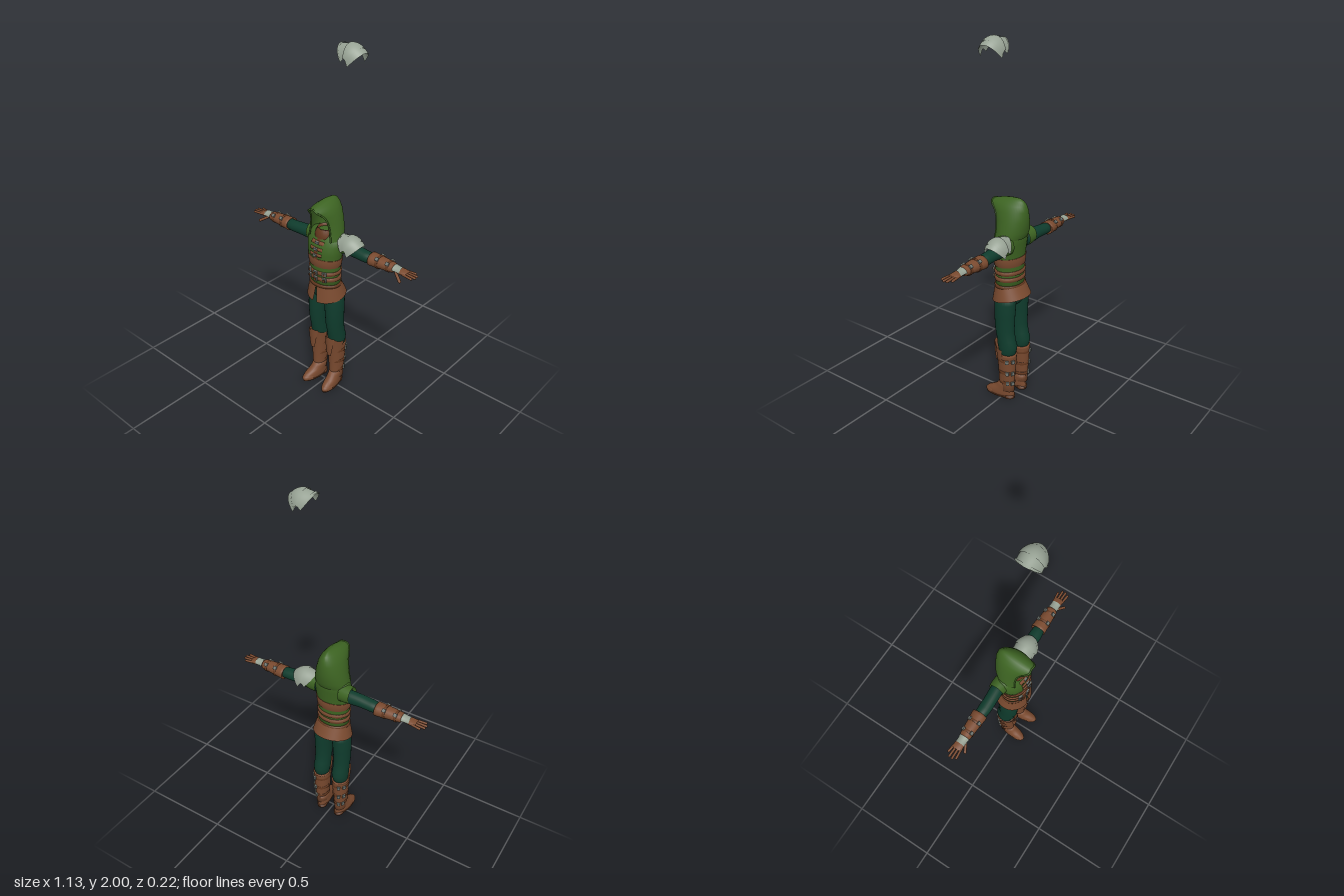
import * as THREE from 'three';
import { mergeVertices } from 'three/addons/utils/BufferGeometryUtils.js';

const paint = (name, color) => new THREE.MeshStandardMaterial({ name, color, side: THREE.DoubleSide });
const { sin, cos, PI, hypot } = Math;
const mix = THREE.MathUtils.lerp;

// Smooth surface from a rule fn(row 0..nu, v 0..1) -> [x, y, z]
function grid(nu, nv, fn) {
  const pos = [], index = [];
  for (let i = 0; i <= nu; i++) for (let j = 0; j <= nv; j++) pos.push(...fn(i, j / nv));
  for (let i = 0; i < nu; i++) for (let j = 0; j < nv; j++) {
    const a = i * (nv + 1) + j, c = a + nv + 1;
    index.push(a, a + 1, c, a + 1, c + 1, c);
  }
  const g = new THREE.BufferGeometry();
  g.setAttribute('position', new THREE.Float32BufferAttribute(pos, 3));
  g.setIndex(index);
  const merged = mergeVertices(g, 1e-5);
  merged.computeVertexNormals();
  return merged;
}

// Elliptical sections [t, c1, c2, r1, r2]; upright: t = y, c1 = x, c2 = z; along x: t = x, c1 = z, c2 = y
function loft(sections, { alongX = false, closed = true, n = 24 } = {}) {
  const s = closed
    ? [[...sections[0].slice(0, 3), 0, 0], ...sections, [...sections.at(-1).slice(0, 3), 0, 0]]
    : sections;
  return grid(s.length - 1, n, (i, v) => {
    const [t, c1, c2, r1, r2] = s[i], a = (v === 1 ? 0 : v) * 2 * PI;
    const p = c1 + r1 * sin(a), q = c2 + r2 * cos(a);
    return alongX ? [t, q, p] : [p, t, q];
  });
}

function mirrored(geo) {
  const g = geo.clone().scale(-1, 1, 1), ix = g.index.array;
  for (let i = 0; i < ix.length; i += 3) [ix[i], ix[i + 1]] = [ix[i + 1], ix[i]];
  return g;
}

function box(w, h, d, x, y, z) {
  return new THREE.BoxGeometry(w, h, d).translate(x, y, z);
}

// Rounded finger between two points
function finger(a, b, r) {
  const p = new THREE.Vector3(...a), q = new THREE.Vector3(...b), d = q.clone().sub(p);
  const turn = new THREE.Quaternion().setFromUnitVectors(new THREE.Vector3(0, 1, 0), d.clone().normalize());
  const m = p.add(q).multiplyScalar(0.5);
  return new THREE.CapsuleGeometry(r, d.length(), 4, 10).applyQuaternion(turn).translate(m.x, m.y, m.z);
}

const TORSO = [
  [0.66, 0, 0, 0.09, 0.07], [0.75, 0, 0.002, 0.088, 0.07], [0.82, 0, 0.003, 0.094, 0.072],
  [0.88, 0, 0.003, 0.106, 0.076], [0.93, 0, -0.004, 0.112, 0.074], [0.96, 0, -0.015, 0.112, 0.065],
  [0.985, 0, -0.02, 0.098, 0.055], [1.0, 0, -0.02, 0.05, 0.04],
];
function torsoAt(y) {
  const i = Math.max(0, TORSO.findIndex((s, k) => y <= TORSO[k + 1][0]));
  const a = TORSO[i], b = TORSO[i + 1], t = (y - a[0]) / (b[0] - a[0]);
  return a.map((v, k) => mix(v, b[k], t));
}
// Raised strip hugging the torso, spanning +-half radians from the front
function strip(y0, y1, off, half = PI) {
  const rows = [[y0, 0], [y0, off], [(y0 + y1) / 2, off * 1.2], [y1, off], [y1, 0]];
  return grid(4, half > 2 ? 40 : 10, (i, v) => {
    const [y, o] = rows[i], [, , cz, rx, rz] = torsoAt(y), a = mix(-half, half, v);
    return [(rx + o) * sin(a), y, cz + (rz + o) * cos(a)];
  });
}

export function createModel() {
  const root = new THREE.Group();
  const green = paint('hoodGreen', 0x3d6422), teal = paint('darkGreenCloth', 0x0f3c2d);
  const leather = paint('brownLeather', 0x7a4a2f), strapBrown = paint('strapLeather', 0x65391f);
  const steel = paint('paleSteel', 0x97a294), iron = paint('buckleIron', 0x6f7671);

  const add = (name, geo, mat) => {
    const m = new THREE.Mesh(geo, mat);
    m.name = name;
    root.add(m);
  };
  const pair = (name, geo, mat) => {
    add(name + 'Left', geo, mat);
    add(name + 'Right', mirrored(geo), mat);
  };

  // Tunic, belts and lacing
  add('tunic', loft(TORSO, { n: 36 }), green);
  add('ribBand', strip(0.805, 0.853, 0.004), leather);
  for (const y of [0.768, 0.732]) {
    add('belt', strip(y - 0.011, y + 0.011, 0.006), leather);
    for (const x of [-0.05, 0, 0.05]) {
      const [, , cz, rx, rz] = torsoAt(y), z = cz + (rz + 0.008) * Math.sqrt(1 - (x / rx) ** 2);
      const plate = box(0.024, 0.024, 0.009, 0, 0, 0).rotateY(x * 9).translate(x, y, z + 0.002);
      add('beltBuckle', plate, iron);
      add('beltTongue', box(0.012, 0.012, 0.004, 0, 0, 0).rotateY(x * 9).translate(x * 1.04, y, z + 0.008), strapBrown);
    }
  }
  add('lacingPlacket', strip(0.85, 0.965, 0.003, 0.1), strapBrown);
  for (const y of [0.945, 0.912, 0.879]) {
    add('lacingStrap', strip(y - 0.007, y + 0.007, 0.006, 0.36), leather);
    const [, , cz, , rz] = torsoAt(y);
    add('lacingToggle', box(0.022, 0.014, 0.01, 0, y, cz + rz + 0.008), iron);
  }

  // Flared skirt, slit at the front
  add('skirt', grid(6, 44, (i, v) => {
    const d = 1 - i / 6, gap = 0.01 + 0.11 * d, a = mix(gap, 2 * PI - gap, v);
    const drop = 0.095 - 0.022 * (1 - cos(a)) / 2 + 0.008 * cos(a);
    return [mix(0.093, 0.113, d) * sin(a), 0.692 - d * drop, mix(0, -0.01, d) + mix(0.074, 0.1, d) * cos(a)];
  }), leather);
  add('skirtWaistband', strip(0.68, 0.697, 0.006), strapBrown);

  // Empty hood: [y, back z, front z, half width]
  const hood = [
    [0.962, -0.088, 0.046, 0.099], [1.0, -0.104, 0.042, 0.092], [1.06, -0.108, 0.046, 0.08],
    [1.11, -0.107, 0.063, 0.067], [1.14, -0.1, 0.085, 0.054], [1.16, -0.088, 0.1, 0.038],
    [1.172, -0.07, 0.102, 0.02], [1.176, -0.05, 0.1, 0],
  ];
  const wrap = 2.3;
  const hoodPoint = (i, v) => {
    const [y, zb, zf, w] = hood[i], a = mix(-wrap, wrap, v), f = (1 - cos(a)) / (1 - cos(wrap));
    const sag = 0.026 * Math.max(0, (y - 1.08) / 0.096) * f * f;
    return [-w * sin(a), y - sag, mix(zb, zf, f)];
  };
  add('hood', grid(hood.length - 1, 32, hoodPoint), green);
  const rim = [...hood.map((_, i) => hoodPoint(i, 0)), ...hood.slice(0, -1).map((_, i) => hoodPoint(i, 1)).reverse()];
  const rimCurve = new THREE.CatmullRomCurve3(rim.map(p => new THREE.Vector3(...p)));
  add('hoodRim', new THREE.TubeGeometry(rimCurve, 60, 0.005, 6), green);

  // Open collar inside the hood
  add('collar', loft([
    [0.965, 0, 0.0, 0.058, 0.055], [0.985, 0, 0.003, 0.054, 0.052], [1.01, 0, 0.002, 0.046, 0.044],
    [1.016, 0, 0, 0.042, 0.04], [1.0, 0, 0, 0.038, 0.036],
  ], { closed: false }), strapBrown);

  // Shoulders and sleeves
  pair('shoulderCap', loft([
    [0.07, -0.028, 0.93, 0.05, 0.052], [0.105, -0.032, 0.931, 0.047, 0.05], [0.134, -0.034, 0.934, 0.043, 0.047],
  ], { alongX: true, closed: false }), green);
  pair('sleeve', loft([
    [0.08, -0.034, 0.92, 0.036, 0.039], [0.14, -0.034, 0.921, 0.036, 0.037], [0.2, -0.031, 0.92, 0.035, 0.033],
    [0.25, -0.031, 0.917, 0.035, 0.031], [0.31, -0.034, 0.916, 0.03, 0.028],
  ], { alongX: true }), teal);

  // Bracers with two buckled straps each
  pair('bracer', loft([
    [0.288, -0.036, 0.916, 0.036, 0.029], [0.285, -0.036, 0.916, 0.043, 0.036], [0.3, -0.036, 0.916, 0.042, 0.035],
    [0.35, -0.035, 0.917, 0.037, 0.032], [0.425, -0.034, 0.918, 0.031, 0.025], [0.432, -0.034, 0.918, 0.026, 0.02],
  ], { alongX: true }), leather);
  for (const [x, rz, ry] of [[0.337, 0.041, 0.036], [0.4, 0.036, 0.03]]) {
    pair('bracerStrap', loft([
      [x - 0.007, -0.035, 0.917, rz - 0.004, ry - 0.004], [x - 0.006, -0.035, 0.917, rz, ry],
      [x + 0.006, -0.035, 0.917, rz, ry], [x + 0.007, -0.035, 0.917, rz - 0.004, ry - 0.004],
    ], { alongX: true, closed: false }), strapBrown);
    for (const s of [-1, 1]) {
      const buckle = box(0.019, 0.008, 0.018, 0, 0, 0).rotateX(s * 0.75);
      pair('bracerBuckle', buckle.translate(x, 0.917 + ry * 0.78, -0.035 + s * rz * 0.72), iron);
    }
  }

  // Gloves, fingers and wrist plates
  pair('glove', loft([
    [0.42, -0.034, 0.918, 0.022, 0.017], [0.455, -0.034, 0.918, 0.024, 0.015],
    [0.485, -0.034, 0.917, 0.028, 0.013], [0.508, -0.034, 0.916, 0.027, 0.009],
  ], { alongX: true }), leather);
  [[-0.056, 0.537], [-0.042, 0.556], [-0.027, 0.558], [-0.012, 0.548]].forEach(([z, x]) =>
    pair('finger', finger([0.495, 0.916, z], [x, 0.915, -0.034 + (z + 0.034) * 1.25], 0.0068), leather));
  pair('thumb', finger([0.452, 0.909, -0.014], [0.492, 0.884, 0.008], 0.008), leather);
  pair('wristPlate', grid(3, 12, (i, v) => {
    const a = mix(-1.45, 1.45, v), r = [0.03, 0.027, 0.026, 0.027][i];
    return [0.432 + i * 0.0145, 0.914 + r * 0.88 * cos(a), -0.034 + r * sin(a)];
  }), steel);

  // Layered shoulder plate, worn and floating high above
  const plate = (u0, u1, lift, dy, dz) => grid(10, 24, (i, v) => {
    const u = mix(u0, u1, i / 10), s = v * 2 - 1, a = s * 1.35;
    const x = mix(mix(0.082, 0.128, s * s), mix(0.222, 0.168, s * s), u);
    const crown = 1.99 + 0.006 * sin(u * 5 - 1.2) - 0.028 * u ** 4 + lift;
    const arch = (1 - cos(a)) / (1 - cos(1.35));
    return [x, crown - arch * mix(0.068, 0.058, u) + dy, -0.015 + dz + (0.062 + lift) * sin(a) / sin(1.35)];
  });
  for (const [name, dy, dz] of [['wornShoulder', -0.998, -0.016], ['floatingShoulder', 0, 0]]) {
    add(name + 'Plate', plate(0, 1, 0, dy, dz), steel);
    add(name + 'Layer', plate(0.4, 0.85, 0.004, dy, dz), steel);
    add(name + 'Edge', plate(0.86, 1, 0.003, dy, dz), steel);
    add(name + 'InnerEdge', plate(0, 0.1, 0.004, dy, dz), steel);
  }

  // Trousers
  add('hips', loft([
    [0.575, 0, -0.01, 0.07, 0.045], [0.6, 0, -0.01, 0.1, 0.062], [0.65, 0, -0.006, 0.095, 0.066], [0.69, 0, 0, 0.086, 0.064],
  ]), teal);
  pair('trouserLeg', loft([
    [0.27, 0.062, -0.026, 0.038, 0.042], [0.3, 0.062, -0.028, 0.044, 0.05], [0.335, 0.061, -0.026, 0.047, 0.058],
    [0.37, 0.061, -0.018, 0.045, 0.054], [0.43, 0.061, -0.008, 0.047, 0.056], [0.51, 0.06, -0.007, 0.05, 0.06],
    [0.59, 0.057, -0.009, 0.053, 0.062], [0.64, 0.052, -0.01, 0.048, 0.06],
  ]), teal);

  // Boots: shaft, front guard, foot and sole
  pair('bootShaft', loft([
    [0.05, 0.063, -0.027, 0.032, 0.042], [0.1, 0.063, -0.026, 0.033, 0.043], [0.16, 0.063, -0.027, 0.04, 0.047],
    [0.23, 0.062, -0.028, 0.045, 0.05], [0.275, 0.062, -0.028, 0.047, 0.052], [0.287, 0.062, -0.028, 0.049, 0.055],
  ]), leather);
  pair('bootGuard', grid(8, 20, (i, v) => {
    const t = i / 8, a = mix(-1.6, 1.6, v), y = 0.1 + t * (0.255 - 0.035 * sin(a) ** 2);
    return [0.062 + mix(0.036, 0.051, t) * sin(a), y, -0.022 + mix(0.047, 0.072, t * t) * cos(a)];
  }), leather);
  pair('kneePlate', grid(4, 16, (i, v) => {
    const t = i / 4, a = mix(-0.75, 0.75, v) * (0.35 + 0.65 * t);
    return [0.062 + 0.052 * sin(a), 0.225 + 0.125 * t, -0.02 + mix(0.064, 0.074, t) * cos(a)];
  }), leather);
  for (const [y, rx, rz] of [[0.25, 0.049, 0.054], [0.175, 0.045, 0.051], [0.108, 0.038, 0.047]]) {
    pair('bootStrap', loft([
      [y - 0.009, 0.063, -0.026, rx - 0.003, rz - 0.003], [y - 0.007, 0.063, -0.026, rx, rz],
      [y + 0.007, 0.063, -0.026, rx, rz], [y + 0.009, 0.063, -0.026, rx - 0.003, rz - 0.003],
    ], { closed: false }), strapBrown);
    for (const a of [2.1, 2.75]) {
      const buckle = box(0.018, 0.02, 0.009, 0, 0, 0).rotateY(a);
      pair('bootBuckle', buckle.translate(0.063 + rx * sin(a), y, -0.026 + (rz + 0.003) * cos(a)), iron);
    }
  }
  const turnOut = g => g.rotateY(0.12).translate(0.063, 0, 0);
  pair('foot', turnOut(loft([
    [0.01, 0, 0.02, 0.033, 0.086], [0.025, 0, 0.02, 0.036, 0.088], [0.042, 0, 0.016, 0.035, 0.08],
    [0.056, 0, 0.002, 0.034, 0.064], [0.075, 0, -0.014, 0.034, 0.053], [0.1, 0, -0.022, 0.034, 0.047],
  ])), leather);
  pair('sole', turnOut(loft([[0.004, 0, 0.02, 0.033, 0.088], [0.013, 0, 0.02, 0.036, 0.091]])), strapBrown);
  pair('heel', turnOut(loft([[0, 0, -0.036, 0.028, 0.032], [0.02, 0, -0.036, 0.03, 0.034]])), strapBrown);
  pair('toeCap', turnOut(grid(4, 14, (i, v) => {
    const a = mix(-1.1, 1.1, v), r = [1.03, 1.05, 1, 0.84][Math.min(i, 3)] - (i === 4 ? 0.2 : 0);
    return [0.036 * r * sin(a), 0.012 + i * 0.0095, 0.02 + 0.088 * r * cos(a)];
  })), leather);

  return root;
}
